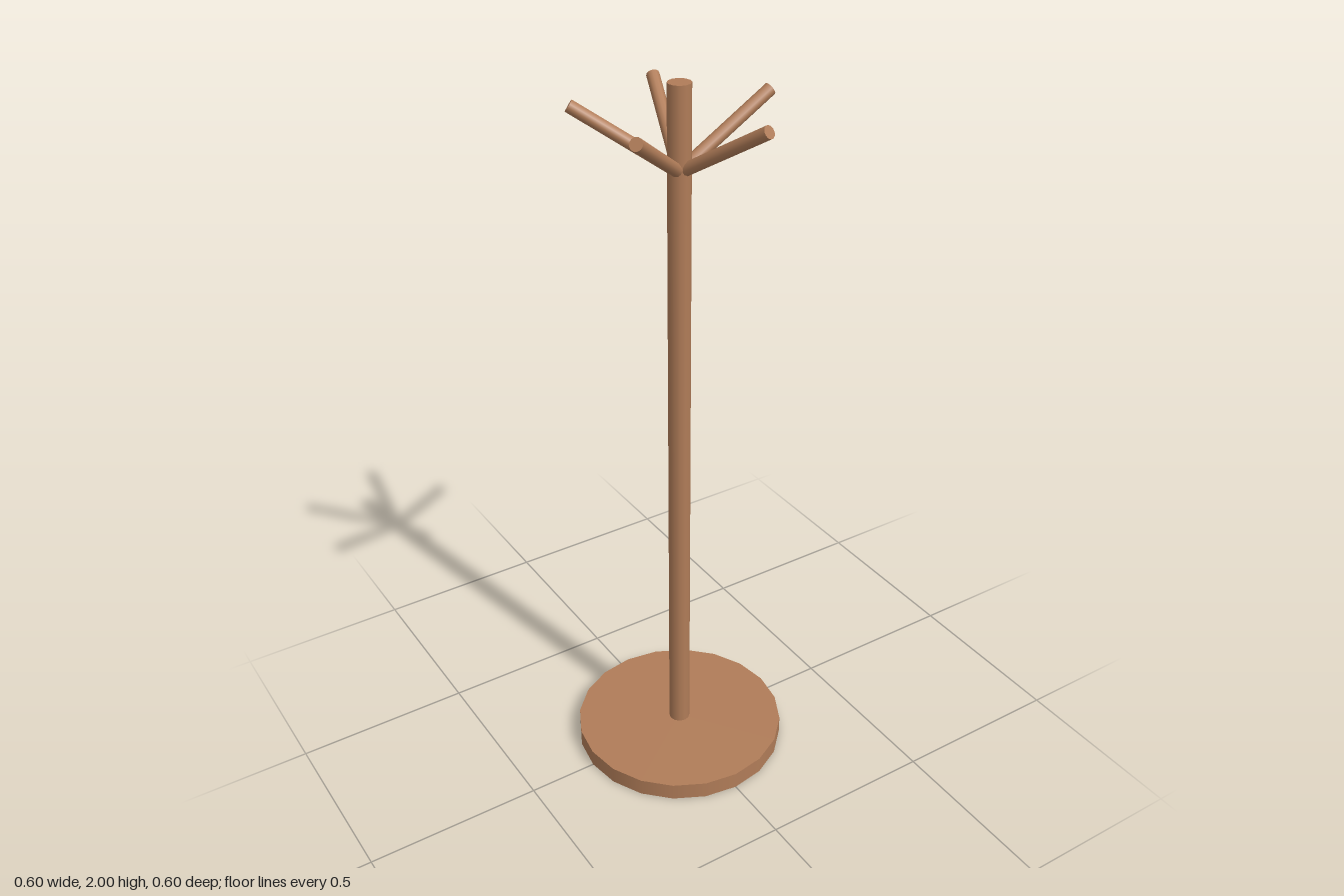
import * as THREE from 'three';

export function createModel() {
  const group = new THREE.Group();
  const wood = new THREE.MeshStandardMaterial({ color: 0xb07c58 });
  wood.name = 'brown wood';

  // Cylinder running between two points
  function rod(name, from, to, radius, sides) {
    const dir = to.clone().sub(from);
    const mesh = new THREE.Mesh(new THREE.CylinderGeometry(radius, radius, dir.length(), sides), wood);
    mesh.name = name;
    mesh.position.copy(from).add(to).multiplyScalar(0.5);
    mesh.quaternion.setFromUnitVectors(new THREE.Vector3(0, 1, 0), dir.normalize());
    group.add(mesh);
  }

  // Round foot and upright pole
  rod('base', new THREE.Vector3(0, 0, 0), new THREE.Vector3(0, 0.05, 0), 0.302, 20);
  rod('pole', new THREE.Vector3(0, 0.04, 0), new THREE.Vector3(0, 2, 0), 0.03, 12);

  // Five slanted pegs fanned around the pole
  for (let i = 0; i < 5; i++) {
    const a = (i / 5) * Math.PI * 2;
    const tip = new THREE.Vector3(0.263 * Math.cos(a), 1.938, 0.263 * Math.sin(a));
    rod('peg' + (i + 1), new THREE.Vector3(0, 1.778, 0), tip, 0.017, 12);
  }
  return group;
}
